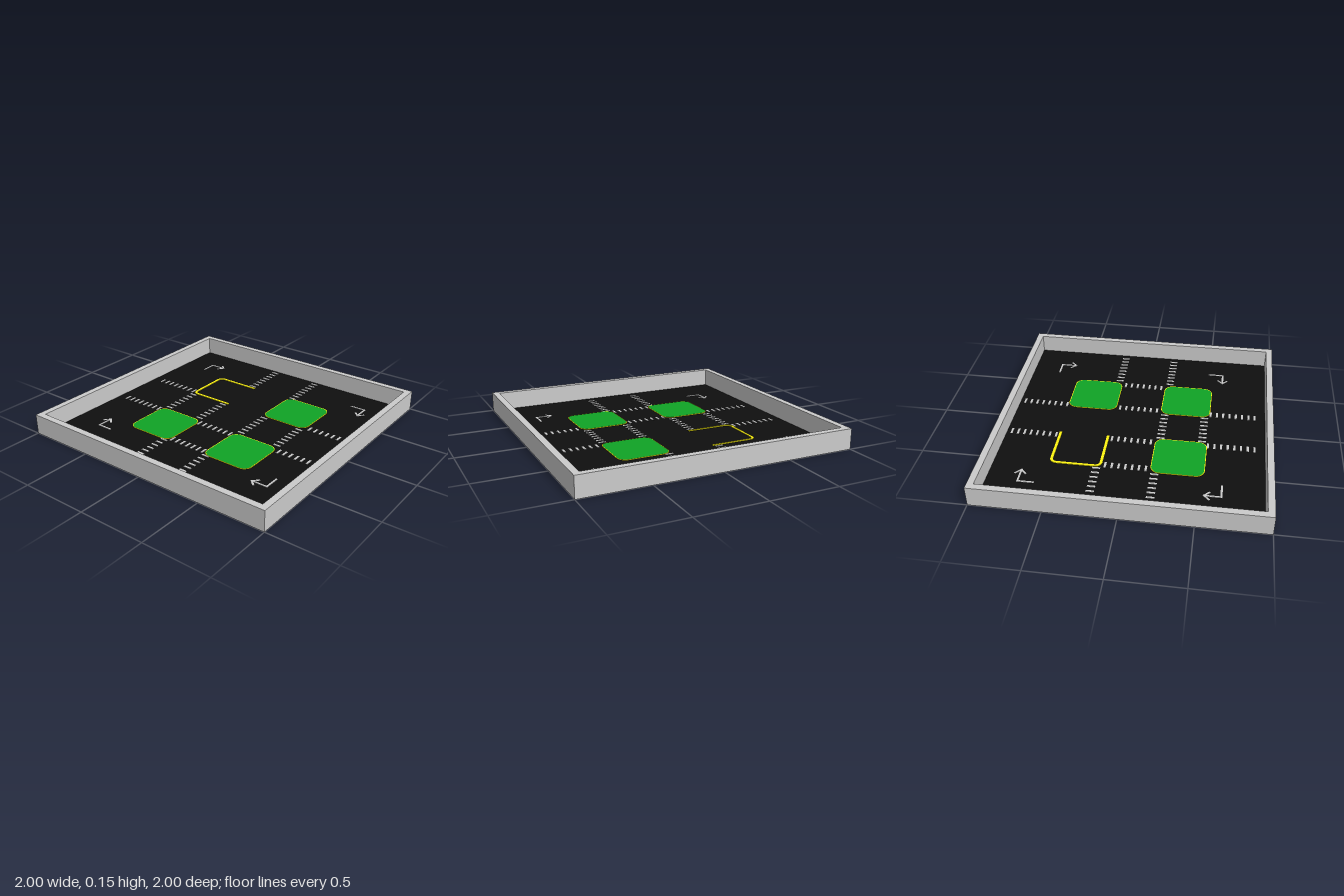
import * as THREE from 'three';

const FLOOR = 0.012;
const grey = new THREE.MeshStandardMaterial({ color: 0xcccccc });
const black = new THREE.MeshStandardMaterial({ color: 0x0f0f0f });
const green = new THREE.MeshStandardMaterial({ color: 0x10a326 });
const yellow = new THREE.MeshStandardMaterial({ color: 0xfff510 });

function add(parent, name, geometry, material, x = 0, y = 0, z = 0) {
  const mesh = new THREE.Mesh(geometry, material);
  mesh.name = name;
  mesh.position.set(x, y, z);
  parent.add(mesh);
  return mesh;
}

// Rounded square outline, centred on the origin
function roundedSquare(size, r, Type = THREE.Shape) {
  const h = size / 2, s = new Type();
  s.moveTo(-h + r, -h).lineTo(h - r, -h);
  s.absarc(h - r, -h + r, r, -Math.PI / 2, 0);
  s.absarc(h - r, h - r, r, 0, Math.PI / 2);
  s.absarc(-h + r, h - r, r, Math.PI / 2, Math.PI);
  s.absarc(-h + r, -h + r, r, Math.PI, Math.PI * 1.5);
  return s;
}

// Shape drawn in plan (shape y = -z), raised by a height
function slab(shape, height) {
  return new THREE.ExtrudeGeometry(shape, { depth: height, bevelEnabled: false, curveSegments: 8 })
    .rotateX(-Math.PI / 2);
}

// Flat painted line between two plan points
function paintLine(parent, x0, z0, x1, z1, width = 0.014) {
  const dx = x1 - x0, dz = z1 - z0;
  const line = add(parent, 'paintLine', new THREE.BoxGeometry(Math.hypot(dx, dz) + width, 0.003, width),
    grey, (x0 + x1) / 2, FLOOR + 0.0015, (z0 + z1) / 2);
  line.rotation.y = -Math.atan2(dz, dx);
}

export function createModel() {
  const model = new THREE.Group();
  model.name = 'roadCourse';

  // Surrounding wall and road floor
  const wall = new THREE.Shape([[-1, -1], [1, -1], [1, 1], [-1, 1]].map(p => new THREE.Vector2(...p)));
  const i = 0.952;
  wall.holes.push(new THREE.Path([[-i, -i], [-i, i], [i, i], [i, -i]].map(p => new THREE.Vector2(...p))));
  add(model, 'wall', slab(wall, 0.15), grey);
  add(model, 'roadFloor', new THREE.BoxGeometry(2 * i, FLOOR - 0.002, 2 * i), black, 0, FLOOR / 2 + 0.001, 0);

  // Grass blocks with a thin yellow kerb
  for (const [x, z] of [[-0.345, -0.343], [-0.345, 0.346], [0.38, 0.346]]) {
    const block = new THREE.Group();
    block.name = 'grassBlock';
    block.position.set(x, FLOOR, z);
    const kerb = roundedSquare(0.38, 0.065);
    kerb.holes.push(roundedSquare(0.37, 0.06, THREE.Path));
    add(block, 'kerb', slab(kerb, 0.004), yellow);
    add(block, 'grass', slab(roundedSquare(0.37, 0.06), 0.004), green);
    model.add(block);
  }

  // Parking bay outline, open towards the front
  const w = 0.188, t = 0.02, r = 0.05, back = 0.178;
  const bay = new THREE.Shape();
  bay.moveTo(-w, -back).lineTo(-w, back - r);
  bay.absarc(-w + r, back - r, r, Math.PI, Math.PI / 2, true);
  bay.absarc(w - r, back - r, r, Math.PI / 2, 0, true);
  bay.lineTo(w, -back).lineTo(w - t, -back).lineTo(w - t, back - r);
  bay.absarc(w - r, back - r, r - t, 0, Math.PI / 2);
  bay.absarc(-w + r, back - r, r - t, Math.PI / 2, Math.PI);
  bay.lineTo(-w + t, -back);
  add(model, 'parkingBay', slab(bay, 0.004), yellow, 0.374, FLOOR, -0.343);

  // Dashed crossing lines: [axis, fixed coordinate, start, end, count]
  const rows = [
    ['z', -0.19, -0.875, -0.548, 8], ['z', 0.22, -0.87, -0.535, 8],
    ['z', -0.495, -0.142, 0.142, 7], ['z', -0.19, -0.142, 0.142, 7],
    ['z', -0.19, 0.565, 0.9, 8], ['z', 0.22, 0.565, 0.9, 8],
    ['x', -0.495, -0.125, 0.163, 7], ['x', -0.197, -0.125, 0.163, 7],
    ['x', -0.186, -0.875, -0.54, 8], ['x', -0.202, 0.58, 0.915, 8],
    ['x', 0.194, -0.875, -0.54, 8], ['x', 0.194, -0.125, 0.163, 7],
    ['x', 0.185, 0.58, 0.915, 8], ['x', 0.505, -0.125, 0.163, 7],
  ];
  const dashHeight = FLOOR + 0.003;
  for (const [axis, fixed, start, end, count] of rows) {
    const line = new THREE.Group();
    line.name = 'dashedLine';
    for (let n = 0; n < count; n++) {
      const p = start + (end - start) * n / (count - 1);
      const alongX = axis === 'x';
      add(line, 'dash', new THREE.BoxGeometry(alongX ? 0.016 : 0.058, dashHeight, alongX ? 0.058 : 0.016),
        grey, alongX ? p : fixed, dashHeight / 2, alongX ? fixed : p);
    }
    model.add(line);
  }

  // Turn arrows at the four corners, each a quarter turn on from the last
  [[-0.66, -0.715], [0.73, -0.74], [0.74, 0.74], [-0.61, 0.75]].forEach(([x, z], k) => {
    const arrow = new THREE.Group();
    arrow.name = 'turnArrow';
    arrow.position.set(x, 0, z);
    arrow.rotation.y = -k * Math.PI / 2;
    paintLine(arrow, 0, 0.11, 0, 0);
    paintLine(arrow, 0, 0, 0.115, 0);
    for (const s of [-1, 1]) paintLine(arrow, 0.082, s * 0.034, 0.117, 0);
    model.add(arrow);
  });

  return model;
}
